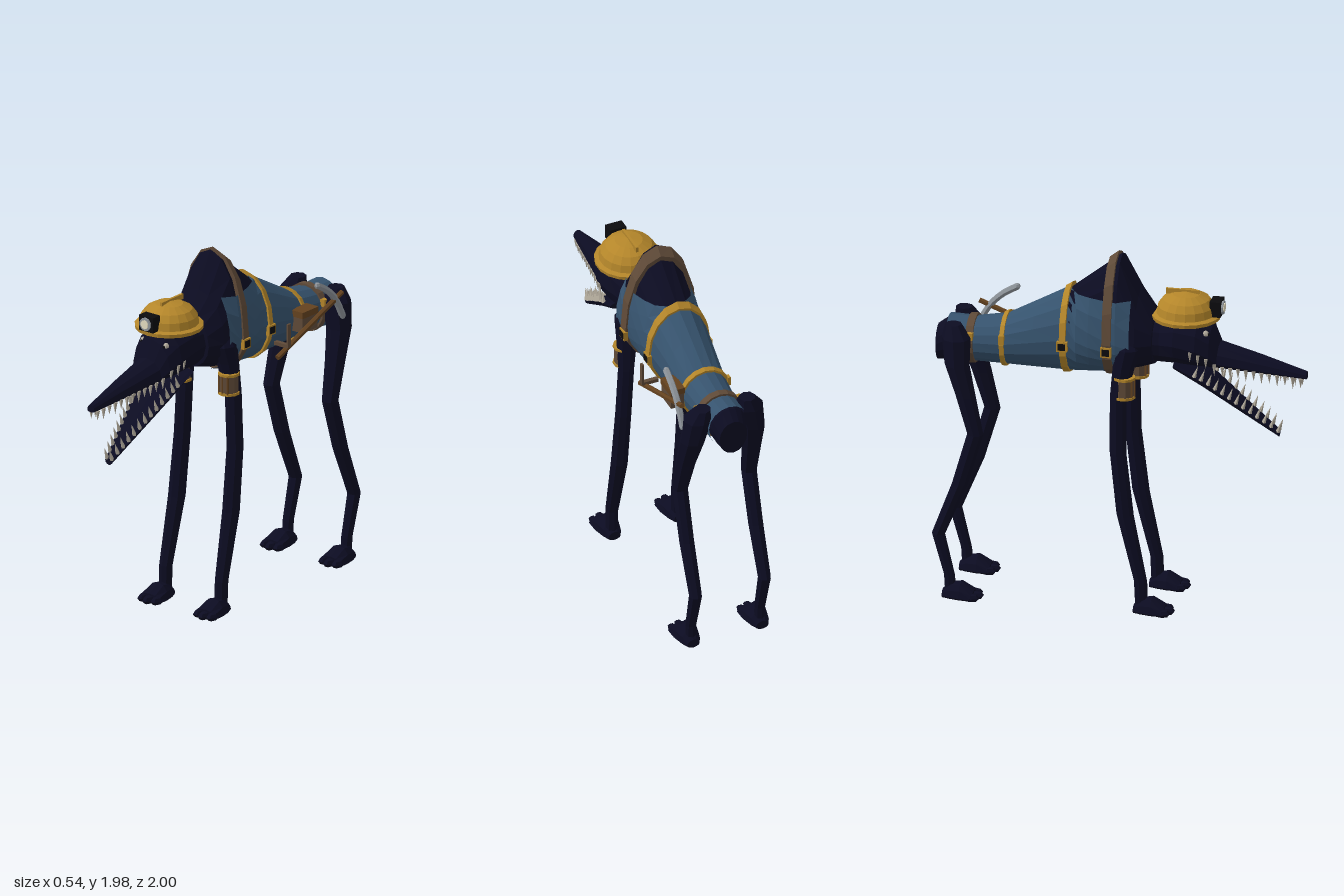
import * as THREE from 'three';

const mat = (name, color) => {
  const m = new THREE.MeshStandardMaterial({ color });
  m.name = name;
  return m;
};
const HIDE = mat('midnight hide', 0x0c0c22), VEST = mat('blue vest', 0x36536e), GOLD = mat('gold', 0xb4862a);
const LEATHER = mat('leather', 0x5f4a38), WOOD = mat('wood', 0x64421f), STEEL = mat('steel', 0x8d9399);
const BONE = mat('bone', 0xb3ab9c), BLACK = mat('black', 0x0b0b0e), LENS = mat('lens', 0xe4dcc0);

const TAU = Math.PI * 2;

// faceted mesh with one colour
function add(parent, name, geo, material, x = 0, y = 0, z = 0) {
  const g = geo.index ? geo.toNonIndexed() : geo;
  g.computeVertexNormals();
  const m = new THREE.Mesh(g, material);
  m.name = name;
  m.position.set(x, y, z);
  parent.add(m);
  return m;
}

// skin over rings of equal length, with optional end caps
function skin(rings, caps = true) {
  const n = rings[0].length, p = [];
  const tri = (...v) => v.forEach(q => p.push(q.x, q.y, q.z));
  for (let i = 0; i < rings.length - 1; i++)
    for (let j = 0; j < n - 1; j++) {
      const a = rings[i][j], b = rings[i][j + 1], c = rings[i + 1][j + 1], d = rings[i + 1][j];
      tri(a, b, c);
      tri(a, c, d);
    }
  if (caps) [rings[0], rings[rings.length - 1]].forEach((r, end) => {
    const mid = new THREE.Vector3();
    for (let j = 0; j < n - 1; j++) mid.addScaledVector(r[j], 1 / (n - 1));
    for (let j = 0; j < n - 1; j++) end ? tri(mid, r[j], r[j + 1]) : tri(mid, r[j + 1], r[j]);
  });
  return new THREE.BufferGeometry().setAttribute('position', new THREE.Float32BufferAttribute(p, 3));
}

// upright oval section: [z, half width, bottom, middle, top]
function oval([z, w, bot, mid, top], off = 0, n = 12, a0 = 0, a1 = TAU) {
  return Array.from({ length: n + 1 }, (_, i) => {
    const a = a0 + (a1 - a0) * i / n, s = Math.sin(a);
    return new THREE.Vector3((w + off) * Math.cos(a), mid + s * ((s > 0 ? top - mid : mid - bot) + off), z);
  });
}

// level round section for legs: [x, y, z, radius]
const round = ([x, y, z, r]) => Array.from({ length: 9 }, (_, i) =>
  new THREE.Vector3(x + r * Math.cos(i * TAU / 8), y, z - r * Math.sin(i * TAU / 8)));

// section interpolated from a list sorted by z
function sectionAt(list, z) {
  let i = 0;
  while (i < list.length - 2 && list[i + 1][0] < z) i++;
  const a = list[i], b = list[i + 1], t = (z - a[0]) / (b[0] - a[0]);
  return a.map((v, k) => v + (b[k] - v) * t);
}

function rod(parent, name, a, b, r, material) {
  const A = new THREE.Vector3(...a), B = new THREE.Vector3(...b), d = B.clone().sub(A);
  const m = add(parent, name, new THREE.CylinderGeometry(r, r, d.length(), 6), material);
  m.position.copy(A).add(B).multiplyScalar(0.5);
  m.quaternion.setFromUnitVectors(new THREE.Vector3(0, 1, 0), d.normalize());
}

const box = (x, y, z) => new THREE.BoxGeometry(x, y, z);

const BODY = [
  [-1, 0.08, 1.275, 1.38, 1.475], [-0.94, 0.1, 1.28, 1.42, 1.52], [-0.8, 0.1, 1.3, 1.42, 1.515],
  [-0.63, 0.115, 1.3, 1.43, 1.545], [-0.29, 0.155, 1.295, 1.5, 1.735], [0, 0.188, 1.315, 1.51, 1.965],
  [0.1, 0.18, 1.335, 1.5, 1.77], [0.185, 0.14, 1.36, 1.5, 1.65]];
const HEAD = [
  [0.1, 0.12, 1.38, 1.5, 1.64], [0.22, 0.12, 1.37, 1.5, 1.63], [0.3, 0.15, 1.375, 1.51, 1.66],
  [0.42, 0.15, 1.37, 1.49, 1.65], [0.49, 0.125, 1.37, 1.45, 1.6], [0.53, 0.1, 1.37, 1.41, 1.505],
  [0.75, 0.065, 1.352, 1.38, 1.45], [1, 0.025, 1.335, 1.345, 1.378]];
const JAW = [[0.3, 0.13, 1.355, 1.39, 1.41], [0.46, 0.12, 1.25, 1.31, 1.325], [0.85, 0.025, 0.995, 1.02, 1.03]];
const FOOT = [[-0.04, 0.035, 0, 0.02, 0.05], [0, 0.055, 0, 0.02, 0.09], [0.06, 0.07, 0, 0.02, 0.1], [0.13, 0.072, 0, 0.02, 0.055]];
const FRONT_LEG = [
  [0.19, 0.05, 0.145, 0.035], [0.19, 0.18, 0.14, 0.036], [0.185, 0.55, 0.055, 0.047], [0.18, 0.9, 0.015, 0.045],
  [0.165, 1.2, 0.012, 0.045], [0.15, 1.38, 0.04, 0.06], [0.135, 1.48, 0.06, 0.075], [0.12, 1.55, 0.05, 0.045]];
const HIND_LEG = [
  [0.2, 0.05, -0.89, 0.03], [0.2, 0.13, -0.895, 0.03], [0.2, 0.36, -0.955, 0.036], [0.2, 0.65, -0.84, 0.042],
  [0.2, 0.94, -0.755, 0.044], [0.19, 1.15, -0.81, 0.055], [0.175, 1.32, -0.86, 0.068], [0.15, 1.46, -0.87, 0.078],
  [0.13, 1.53, -0.89, 0.045]];

function addLeg(parent, name, path, side) {
  const leg = new THREE.Group();
  leg.name = name;
  parent.add(leg);
  add(leg, 'limb', skin(path.map(([x, ...rest]) => round([x * side, ...rest]))), HIDE);
  const [x, , z] = path[0];
  add(leg, 'foot', skin(FOOT.map(s => oval(s))), HIDE, x * side, 0, z);
  for (const t of [-1, 0, 1]) {
    const toe = new THREE.SphereGeometry(1, 6, 4).scale(0.027, 0.024, 0.05);
    add(leg, 'toe', toe, HIDE, x * side + t * 0.045, 0.024, z + (t ? 0.12 : 0.135));
  }
}

export function createModel() {
  const root = new THREE.Group();
  root.name = 'minerBeast';

  // humped body, with a vest that leaves the hump bare
  add(root, 'body', skin(BODY.map(s => oval(s, 0, 16))), HIDE);
  const vestZ = [-0.94, -0.8, -0.63, -0.46, -0.29, -0.22, -0.15, -0.07, 0, 0.075];
  add(root, 'vest', skin(vestZ.map(z => {
    const s = sectionAt(BODY, z), a = Math.asin(Math.min(1, (1.735 - s[3]) / (s[4] - s[3])));
    return oval(s, 0.014, 16, Math.PI - a, TAU + a);
  }), false), VEST);

  // straps around the body
  for (const [z, width, material] of [[-0.045, 0.05, LEATHER], [-0.29, 0.035, GOLD], [-0.63, 0.025, GOLD], [-0.81, 0.04, LEATHER]]) {
    const rings = [[-1, 0], [-1, 0.026], [1, 0.026], [1, 0]].map(([e, off]) =>
      oval(sectionAt(BODY, z + e * width / 2), off, 16));
    add(root, 'strap', skin(rings, false), material);
  }

  // head, lower jaw
  add(root, 'head', skin(HEAD.map(s => oval(s))), HIDE);
  add(root, 'lowerJaw', skin(JAW.map(s => oval(s))), HIDE);

  for (const side of [-1, 1]) {
    addLeg(root, 'frontLeg', FRONT_LEG, side);
    addLeg(root, 'hindLeg', HIND_LEG, side);

    // buckles
    for (const [z, x] of [[-0.045, 0.205], [-0.29, 0.176]]) {
      add(root, 'buckle', box(0.022, 0.055, 0.058), GOLD, side * x, 1.47, z);
      add(root, 'buckleCentre', box(0.03, 0.037, 0.04), BLACK, side * x, 1.47, z);
    }
    add(root, 'smallBuckle', box(0.03, 0.04, 0.045), GOLD, side * 0.12, 1.46, -0.81);
    add(root, 'smallBuckle', box(0.02, 0.05, 0.03), GOLD, side * 0.135, 1.46, -0.63);

    // eyes
    add(root, 'eye', new THREE.SphereGeometry(0.02, 8, 6), BONE, side * 0.075, 1.57, 0.465);
    add(root, 'pupil', new THREE.SphereGeometry(0.008, 6, 4), BLACK, side * 0.076, 1.57, 0.482);

    // leg pouches with gold rims
    add(root, 'legPouch', new THREE.CylinderGeometry(0.053, 0.053, 0.11, 10), LEATHER, side * 0.163, 1.262, 0.046);
    for (const y of [1.212, 1.318])
      add(root, 'pouchRim', new THREE.CylinderGeometry(0.059, 0.059, 0.014, 10), GOLD, side * 0.163, y, 0.046);
    for (const dx of [-0.03, 0, 0.03])
      add(root, 'pouchLoop', box(0.007, 0.1, 0.01), WOOD, side * 0.163 + dx, 1.265, dx ? 0.092 : 0.1);

    // teeth along both jaws
    for (let i = 0; i < 15; i++) {
      const u = sectionAt(HEAD, 0.97 - i * 0.041), l = 0.055 + 0.012 * (i % 2);
      add(root, 'upperTooth', new THREE.ConeGeometry(0.013, l, 5), BONE, side * (u[1] - 0.008), u[3] - l / 2 - 0.008, u[0])
        .rotation.x = Math.PI;
    }
    for (let i = 0; i < 13; i++) {
      const u = sectionAt(JAW, 0.845 - i * 0.036);
      add(root, 'lowerTooth', new THREE.ConeGeometry(0.013, 0.07, 5), BONE, side * (u[1] - 0.01), u[3] + 0.035, u[0] + 0.01)
        .rotation.x = 0.35;
    }
  }

  // hard hat with ridge and lamp
  const hat = new THREE.Group();
  hat.name = 'helmet';
  hat.position.set(0, 1.63, 0.345);
  root.add(hat);
  const profile = [[0.08, 0.008], [0.182, 0], [0.185, 0.02], [0.16, 0.028], [0.152, 0.07], [0.125, 0.107], [0.075, 0.134], [0, 0.146]];
  add(hat, 'dome', new THREE.LatheGeometry(profile.map(p => new THREE.Vector2(...p)), 18), GOLD);
  add(hat, 'ridge', box(0.014, 0.03, 0.18), GOLD, 0, 0.14, -0.02);
  add(hat, 'lampCase', box(0.095, 0.085, 0.06), BLACK, 0, 0.07, 0.165);
  add(hat, 'lampRing', new THREE.CylinderGeometry(0.037, 0.037, 0.02, 10).rotateX(Math.PI / 2), STEEL, 0, 0.07, 0.195);
  add(hat, 'lampLens', new THREE.CylinderGeometry(0.025, 0.025, 0.008, 10).rotateX(Math.PI / 2), LENS, 0, 0.07, 0.205);

  // pickaxe slung on the left flank, with its pouch and holder
  const pick = new THREE.Group();
  pick.name = 'pickaxe';
  root.add(pick);
  rod(pick, 'handle', [0.22, 1.32, -0.29], [0.22, 1.535, -0.83], 0.015, WOOD);
  const arc = new THREE.CatmullRomCurve3([[1.63, -0.625], [1.585, -0.7], [1.51, -0.775], [1.4, -0.835]]
    .map(([y, z]) => new THREE.Vector3(0.22, y, z)));
  add(pick, 'blade', new THREE.TubeGeometry(arc, 8, 0.019, 6), STEEL);
  for (const t of [0, 1]) add(pick, 'bladeTip', new THREE.SphereGeometry(0.019, 6, 4), STEEL, ...arc.getPoint(t).toArray());
  add(pick, 'pouch', box(0.075, 0.11, 0.125), LEATHER, 0.165, 1.44, -0.585);
  add(pick, 'pouchFlap', box(0.082, 0.035, 0.132), WOOD, 0.165, 1.485, -0.585);
  add(pick, 'holder', box(0.012, 0.13, 0.024), LEATHER, 0.24, 1.43, -0.36);
  add(pick, 'holderArm', box(0.09, 0.02, 0.024), LEATHER, 0.195, 1.37, -0.36);
  return root;
}
